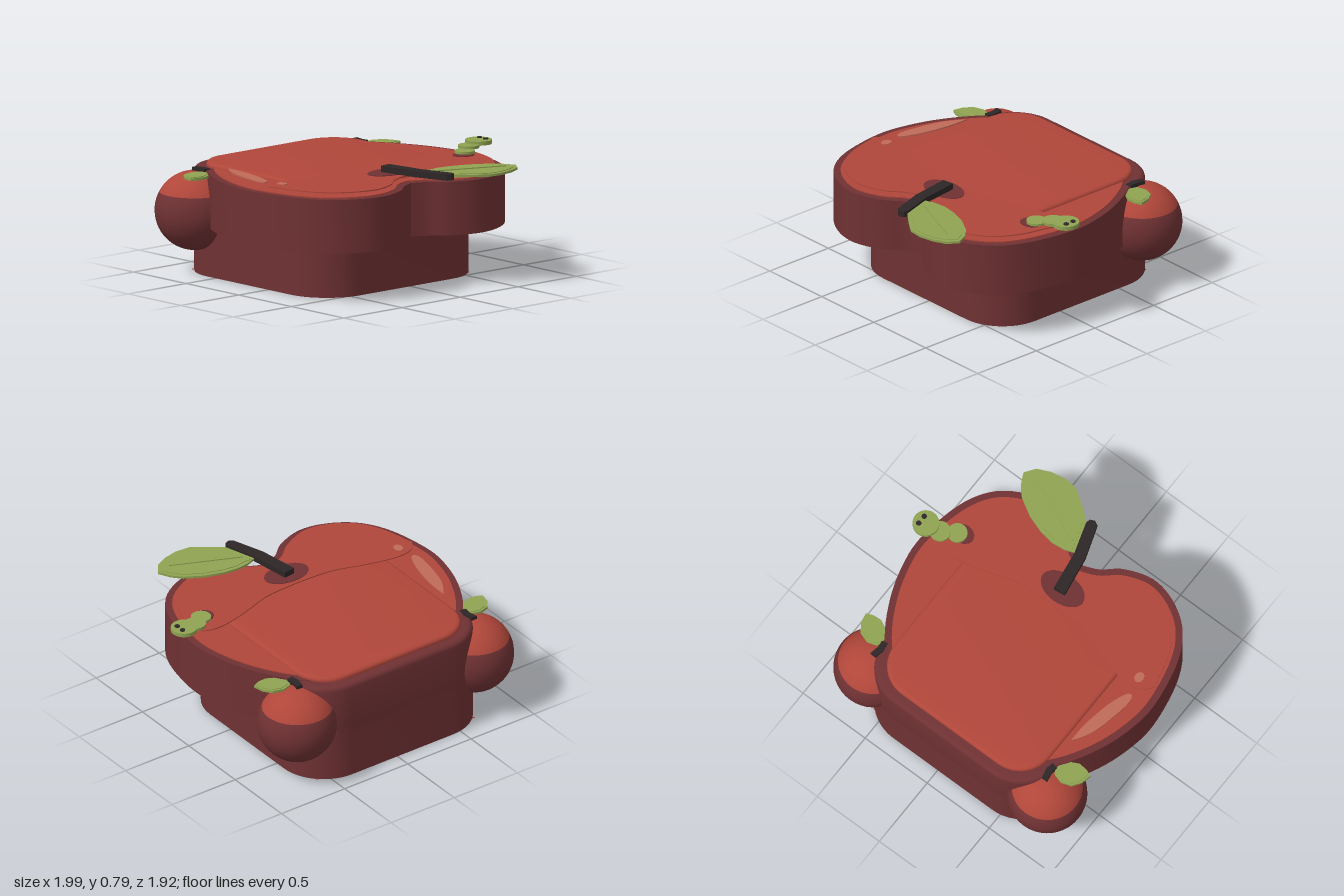
import * as THREE from 'three';
import { toCreasedNormals } from 'three/addons/utils/BufferGeometryUtils.js';

const CX = -0.04; // symmetry line of the case

const V = (x, z) => new THREE.Vector2(x, z);
const vecs = (list) => list.map(([x, z]) => V(x, z));

// Smooth half outline (distance from symmetry line, z)
const smooth = (list, n = 40) => new THREE.SplineCurve(vecs(list)).getPoints(n);

// Close a half outline by mirroring it; both end points lie on the axis
function mirrorHalf(half) {
  const other = half.slice(1, -1).reverse().map((p) => V(-p.x, p.y));
  return [...half, ...other].map((p) => V(p.x + CX, p.y));
}

// Shrink a closed outline along its normals
function inset(points, d) {
  const s = THREE.ShapeUtils.area(points) > 0 ? 1 : -1;
  return points.map((p, i) => {
    const a = points[(i + points.length - 1) % points.length];
    const b = points[(i + 1) % points.length];
    const t = b.clone().sub(a).normalize();
    return V(p.x - t.y * d * s, p.y + t.x * d * s);
  });
}

function ellipse(x, z, rx, rz, turn = 0, n = 32) {
  return new THREE.EllipseCurve(x, z, rx, rz, 0, Math.PI * 2, false, turn).getPoints(n).slice(0, -1);
}

function roundedRect(x0, x1, z0, z1, r) {
  const pts = [];
  [[x1 - r, z1 - r], [x0 + r, z1 - r], [x0 + r, z0 + r], [x1 - r, z0 + r]].forEach(([x, z], k) => {
    for (let i = 0; i <= 12; i++) {
      const a = (k + i / 12) * Math.PI / 2;
      pts.push(V(x + r * Math.cos(a), z + r * Math.sin(a)));
    }
  });
  return pts;
}

// Flat plate with the given plan outline between two heights
function plate(name, points, y0, y1, material, bevel = 0) {
  const shape = new THREE.Shape(points.map((p) => V(p.x, -p.y)));
  let geo = new THREE.ExtrudeGeometry(shape, {
    depth: y1 - y0 - 2 * bevel, bevelEnabled: bevel > 0, bevelSize: bevel,
    bevelThickness: bevel, bevelOffset: -bevel, bevelSegments: 4,
  });
  geo.rotateX(-Math.PI / 2);
  geo.translate(0, y0 + bevel, 0);
  geo = toCreasedNormals(geo, 0.6);
  const mesh = new THREE.Mesh(geo, material);
  mesh.name = name;
  return mesh;
}

export function createModel() {
  const mat = (name, color) => {
    const m = new THREE.MeshStandardMaterial({ color });
    m.name = name;
    return m;
  };
  const maroon = mat('maroon', 0x6f3133);
  const red = mat('red', 0xb0463a);
  const green = mat('leaf green', 0x8fa352);
  const black = mat('stem black', 0x2e2626);
  const pink = mat('highlight pink', 0xc06a58);

  const model = new THREE.Group();
  model.name = 'appleCase';
  const add = (...args) => model.add(plate(...args));

  // Rounded square body with softened top edge
  const square = roundedRect(-0.75, 0.67, -0.89, 0.53, 0.31);
  add('bodyBase', square, 0, 0.36, maroon);
  add('bodyTop', square, 0.3, 0.682, maroon, 0.03);
  add('bottomPanel', vecs([[0.58, 0.45], [0.58, -0.81], [-0.67, -0.81]]), -0.001, 0.004, red);

  // Apple shaped slab with its red face
  const half = smooth([[0, 0.58], [0.1, 0.625], [0.22, 0.72], [0.41, 0.78], [0.6, 0.74], [0.77, 0.62],
    [0.88, 0.42], [0.937, 0.12], [0.92, -0.1], [0.84, -0.35], [0.69, -0.6], [0.5, -0.74], [0, -0.78]], 64);
  const apple = mirrorHalf(half);
  add('appleSlab', apple, 0.335, 0.685, maroon);
  add('appleFace', inset(apple, 0.045), 0.68, 0.692, red);
  add('raisedPad', roundedRect(-0.67, 0.585, -0.82, 0.45, 0.24), 0.66, 0.714, red, 0.025);

  // Thin front sheet with a wavy upper edge
  const lower = inset(apple, 0.065).slice(0, half.length)
    .map((p) => V(p.x - CX, p.y)).filter((p) => p.y > 0.22);
  const upper = smooth([[0.872, 0.2], [0.81, 0.125], [0.68, 0.11], [0.48, 0.155], [0.25, 0.225], [0, 0.24]], 24);
  add('frontSheet', mirrorHalf([...lower, ...upper]), 0.715, 0.722, red);

  // Shine marks
  const shine = new THREE.SplineCurve(vecs([[-0.71, -0.42], [-0.79, -0.28], [-0.84, -0.05], [-0.84, 0.05],
    [-0.8, 0.05], [-0.75, -0.08], [-0.715, -0.27], [-0.71, -0.42]])).getPoints(40).slice(0, -1);
  add('shineStreak', shine, 0.714, 0.722, pink);
  add('shineDot', ellipse(-0.795, 0.187, 0.029, 0.037), 0.721, 0.727, pink);

  // Stem in its hollow
  add('stemHollow', ellipse(CX, 0.365, 0.16, 0.1), 0.721, 0.726, maroon);
  add('stem', vecs([[-0.08, 0.335], [0, 0.325], [0.04, 0.59], [0.107, 0.8], [0.1, 0.83], [0.07, 0.845],
    [0.04, 0.83], [-0.035, 0.61]]), 0.726, 0.766, black);

  // Big leaf with raised blade and vein
  const leaf = vecs([[0.04, 0.6], [0.11, 0.575], [0.2, 0.565], [0.3, 0.58], [0.42, 0.62], [0.54, 0.69],
    [0.595, 0.75], [0.635, 0.83], [0.585, 0.9], [0.5, 0.94], [0.4, 0.96], [0.3, 0.95], [0.2, 0.88], [0.11, 0.81]]);
  add('leaf', leaf, 0.735, 0.75, green);
  add('leafBlade', inset(leaf, 0.025), 0.748, 0.754, green);
  add('leafVein', vecs([[0.1, 0.645], [0.54, 0.84], [0.1, 0.665]]), 0.752, 0.761, green);

  // Worm coming out of its hole
  add('wormHole', ellipse(0.69, 0.272, 0.075, 0.062), 0.721, 0.727, maroon);
  [[0.72, 0.25, 0.065, 0.73, 0.746], [0.81, 0.188, 0.068, 0.742, 0.761], [0.912, 0.17, 0.086, 0.754, 0.78]]
    .forEach(([x, z, r, y0, y1], i) => add(i === 2 ? 'wormHead' : 'wormSegment', ellipse(x, z, r, r), y0, y1, green));
  for (const z of [0.14, 0.198]) add('wormEye', ellipse(0.947, z, 0.017, 0.017, 0, 16), 0.779, 0.787, black);

  // Round berries on the rear corners: red cap, maroon below, stem and leaf
  const R = 0.257;
  const split = Math.acos(0.12 / R);
  for (const side of [-1, 1]) {
    const berry = new THREE.Group();
    berry.name = side < 0 ? 'rightBerry' : 'leftBerry';
    const parts = [['berryCap', 0, split, red], ['berryBowl', split, Math.PI - split, maroon]];
    for (const [name, start, length, material] of parts) {
      const mesh = new THREE.Mesh(new THREE.SphereGeometry(R, 40, 20, 0, Math.PI * 2, start, length), material);
      mesh.name = name;
      mesh.position.set(CX + side * 0.7, 0.413, -0.705);
      berry.add(mesh);
    }
    const at = (list) => list.map(([u, z]) => V(CX + side * u, z));
    const small = at([[0.69, -0.6], [0.715, -0.65], [0.78, -0.668], [0.85, -0.645], [0.89, -0.59],
      [0.905, -0.52], [0.86, -0.5], [0.8, -0.495], [0.73, -0.53]]);
    berry.add(
      plate('berryStem', at([[0.67, -0.72], [0.712, -0.72], [0.7, -0.66], [0.705, -0.61], [0.665, -0.6], [0.655, -0.66]]),
        0.655, 0.692, black),
      plate('berryLeaf', small, 0.655, 0.672, green),
      plate('berryLeafBlade', inset(small, 0.015), 0.67, 0.676, green),
    );
    model.add(berry);
  }
  return model;
}
